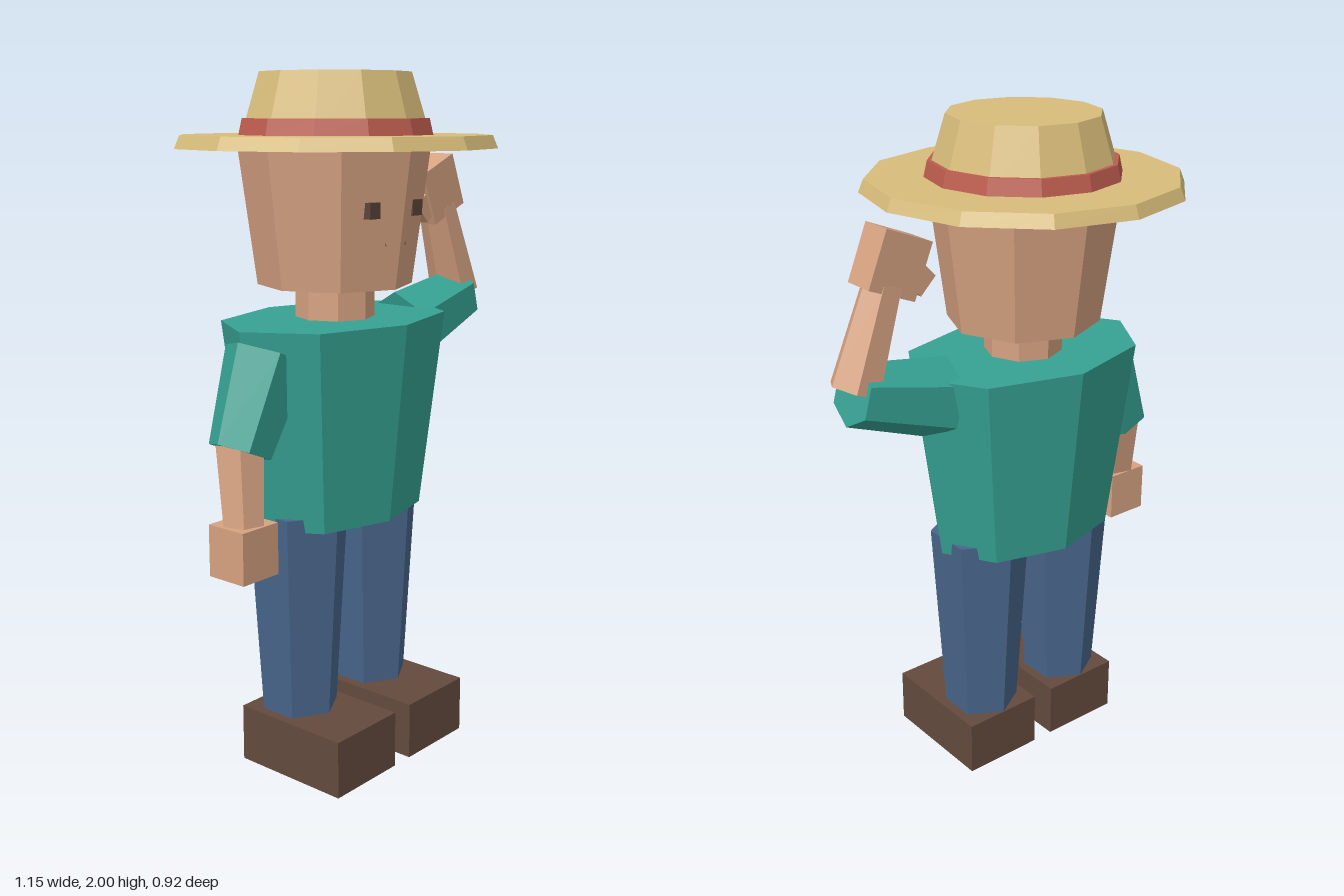
import * as THREE from 'three';

const paint = (name, color) => {
  const m = new THREE.MeshStandardMaterial({ color, flatShading: true });
  m.name = name;
  return m;
};

export function createModel() {
  const skin = paint('skin', 0xd6a281);
  const shirt = paint('shirt teal', 0x36a293);
  const denim = paint('denim blue', 0x48658a);
  const leather = paint('shoe brown', 0x634a3d);
  const straw = paint('straw', 0xd8bc7a);
  const ribbon = paint('ribbon red', 0xbd5d4e);
  const dark = paint('eye brown', 0x5a4438);

  const model = new THREE.Group();
  model.name = 'farmer';
  const CX = -0.08; // middle of the body

  const add = (name, geometry, material, x, y, z) => {
    const mesh = new THREE.Mesh(geometry, material);
    mesh.name = name;
    mesh.position.set(x, y, z);
    model.add(mesh);
    return mesh;
  };
  const box = (name, material, w, h, d, x, y, z) =>
    add(name, new THREE.BoxGeometry(w, h, d), material, x, y, z);
  // Upright tapered prism between two heights
  const prism = (name, material, sides, rTop, rBottom, y0, y1, x = CX) =>
    add(name, new THREE.CylinderGeometry(rTop, rBottom, y1 - y0, sides), material, x, (y0 + y1) / 2, 0);
  // Tapered six-sided limb from point a to point b
  const limb = (name, material, a, b, ra, rb) => {
    const p = new THREE.Vector3(...a), q = new THREE.Vector3(...b);
    const geometry = new THREE.CylinderGeometry(rb, ra, p.distanceTo(q), 6).rotateY(Math.PI / 2);
    const mesh = add(name, geometry, material, 0, 0, 0);
    mesh.position.copy(p).add(q).multiplyScalar(0.5);
    mesh.quaternion.setFromUnitVectors(new THREE.Vector3(0, 1, 0), q.sub(p).normalize());
    return mesh;
  };

  // Shoes and legs
  for (const [side, s] of [['left', 1], ['right', -1]]) {
    const x = CX + s * 0.162;
    box(side + 'Shoe', leather, 0.256, 0.17, 0.375, x, 0.085, 0.073);
    prism(side + 'Leg', denim, 6, 0.15, 0.113, 0.16, 0.78, x);
  }

  // Torso, neck and head
  prism('torso', shirt, 8, 0.39, 0.305, 0.74, 1.318).scale.z = 0.68;
  prism('neck', skin, 8, 0.114, 0.114, 1.3, 1.43);
  prism('head', skin, 8, 0.273, 0.222, 1.412, 1.8);

  // Face
  for (const [side, s] of [['left', 1], ['right', -1]])
    box(side + 'Eye', dark, 0.042, 0.044, 0.045, CX + s * 0.092, 1.633, 0.203);
  box('mouth', dark, 0.086, 0.008, 0.02, CX, 1.538, 0.2115);

  // Straw hat
  prism('hatBrim', straw, 12, 0.443, 0.458, 1.794, 1.83);
  prism('hatBand', ribbon, 12, 0.268, 0.279, 1.828, 1.875);
  prism('hatCrown', straw, 12, 0.217, 0.27, 1.828, 2);

  // Lowered right arm
  limb('rightSleeve', shirt, [-0.365, 1.243, 0], [-0.476, 0.989, 0], 0.12, 0.09);
  limb('rightForearm', skin, [-0.476, 1.01, 0], [-0.506, 0.78, 0.04], 0.075, 0.062);
  box('rightHand', skin, 0.135, 0.148, 0.13, -0.507, 0.727, 0.04);

  // Raised left arm
  limb('leftSleeve', shirt, [0.225, 1.243, 0], [0.51, 1.32, 0], 0.12, 0.09);
  limb('leftForearm', skin, [0.5, 1.333, 0], [0.4, 1.61, 0], 0.075, 0.057);
  box('leftHand', skin, 0.155, 0.165, 0.098, 0.372, 1.662, 0).rotation.z = 0.39;
  box('leftThumb', skin, 0.07, 0.09, 0.08, 0.312, 1.62, 0).rotation.z = -0.78;

  return model;
}
